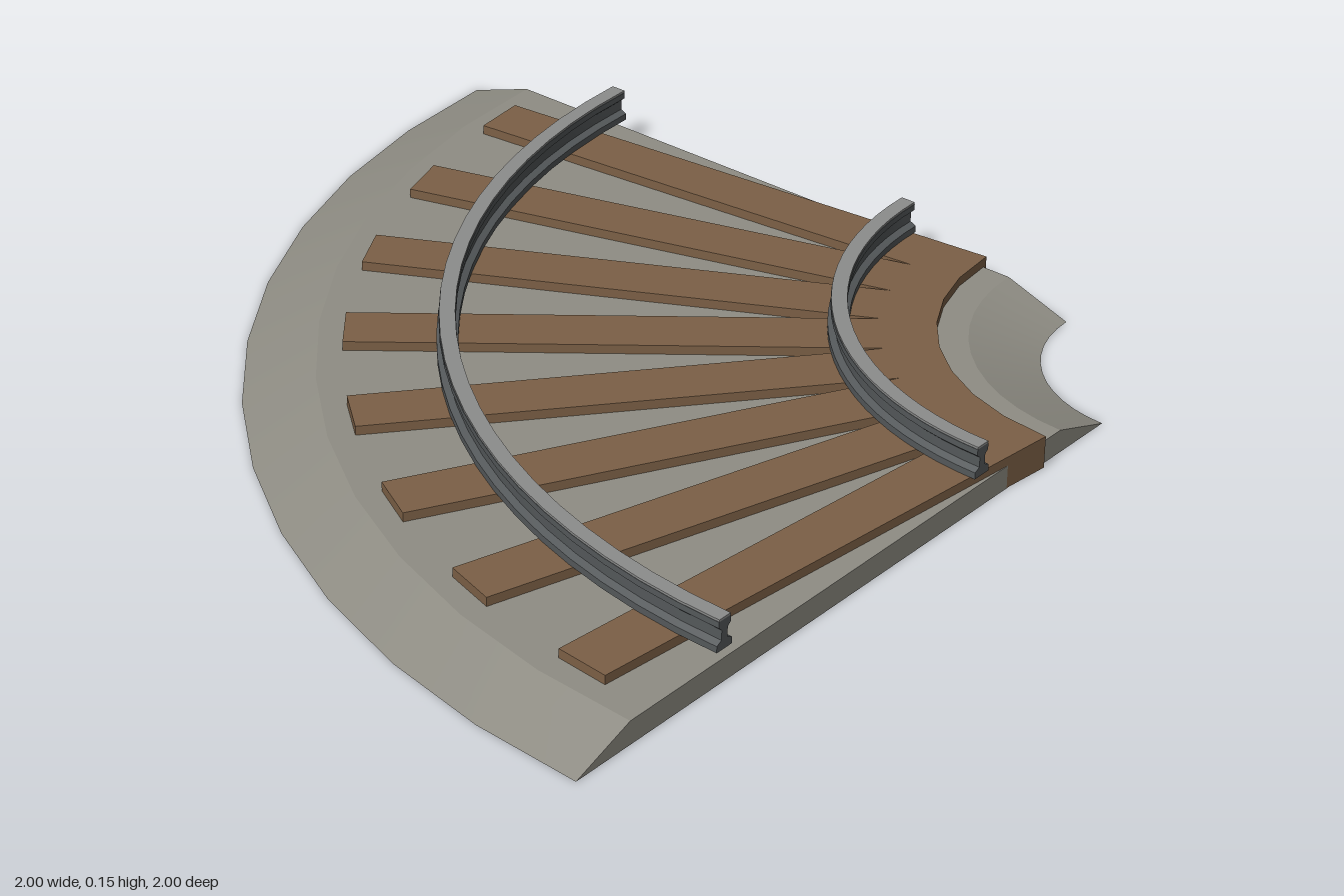
import * as THREE from 'three';
import { mergeGeometries, toCreasedNormals } from 'three/addons/utils/BufferGeometryUtils.js';

const CENTRE = 0.985; // x and z of the curve's centre

// Sweeps a counter-clockwise (radius, height) profile through a quarter turn and caps both ends
function quarterSweep(profile, segments, crease) {
  const pts = profile.map(([r, y]) => new THREE.Vector2(r, y));
  const sweep = new THREE.LatheGeometry([...pts, pts[0].clone()], segments, Math.PI, Math.PI / 2);
  const backCap = new THREE.ShapeGeometry(new THREE.Shape(pts)).rotateY(Math.PI / 2);
  const mirrored = pts.map((p) => new THREE.Vector2(-p.x, p.y));
  const frontCap = new THREE.ShapeGeometry(new THREE.Shape(mirrored));
  return mergeGeometries([
    toCreasedNormals(sweep, crease),
    backCap.toNonIndexed(),
    frontCap.toNonIndexed(),
  ]);
}

export function createModel() {
  const gravel = new THREE.MeshStandardMaterial({ name: 'gravel grey', color: 0x8f8d84 });
  const wood = new THREE.MeshStandardMaterial({ name: 'wood brown', color: 0x7c6046 });
  const steel = new THREE.MeshStandardMaterial({ name: 'dark steel', color: 0x55595b });
  const polished = new THREE.MeshStandardMaterial({ name: 'polished steel', color: 0x8c8d8c });

  const model = new THREE.Group();
  model.name = 'curvedTrack';
  const curve = new THREE.Group();
  curve.name = 'quarterCurve';
  curve.position.set(CENTRE, 0, CENTRE);
  model.add(curve);

  const add = (name, geometry, material) => {
    const mesh = new THREE.Mesh(geometry, material);
    mesh.name = name;
    curve.add(mesh);
    return mesh;
  };

  // Ballast bed with sloping shoulders
  add('ballast', quarterSweep([[0.3, 0], [1.985, 0], [1.83, 0.054], [0.455, 0.054]], 12, 0.25), gravel);

  // Sleepers fanned around the curve
  const count = 8;
  const inner = 0.52, outer = 1.772;
  for (let i = 0; i < count; i++) {
    const box = new THREE.BoxGeometry(outer - inner, 0.074, 0.125);
    box.translate(-(inner + outer) / 2, 0.038, 0);
    const sleeper = add('sleeper' + (i + 1), box, wood);
    sleeper.rotation.y = -((i + 0.5) / count) * Math.PI / 2;
  }

  // Rails: foot, web and head, with a thin polished running surface
  const half = [[0.023, 0.075], [0.023, 0.09], [0.009, 0.097], [0.009, 0.12], [0.018, 0.128], [0.018, 0.142]];
  for (const [name, r] of [['innerRail', 0.73], ['outerRail', 1.553]]) {
    const right = half.map(([w, y]) => [r + w, y]);
    const left = half.map(([w, y]) => [r - w, y]).reverse();
    add(name, quarterSweep([...right, ...left], 24, 0.3), steel);
    const strip = [[r - 0.017, 0.142], [r + 0.017, 0.142], [r + 0.017, 0.147], [r - 0.017, 0.147]];
    add(name + 'Surface', quarterSweep(strip, 24, 0.3), polished);
  }

  return model;
}
